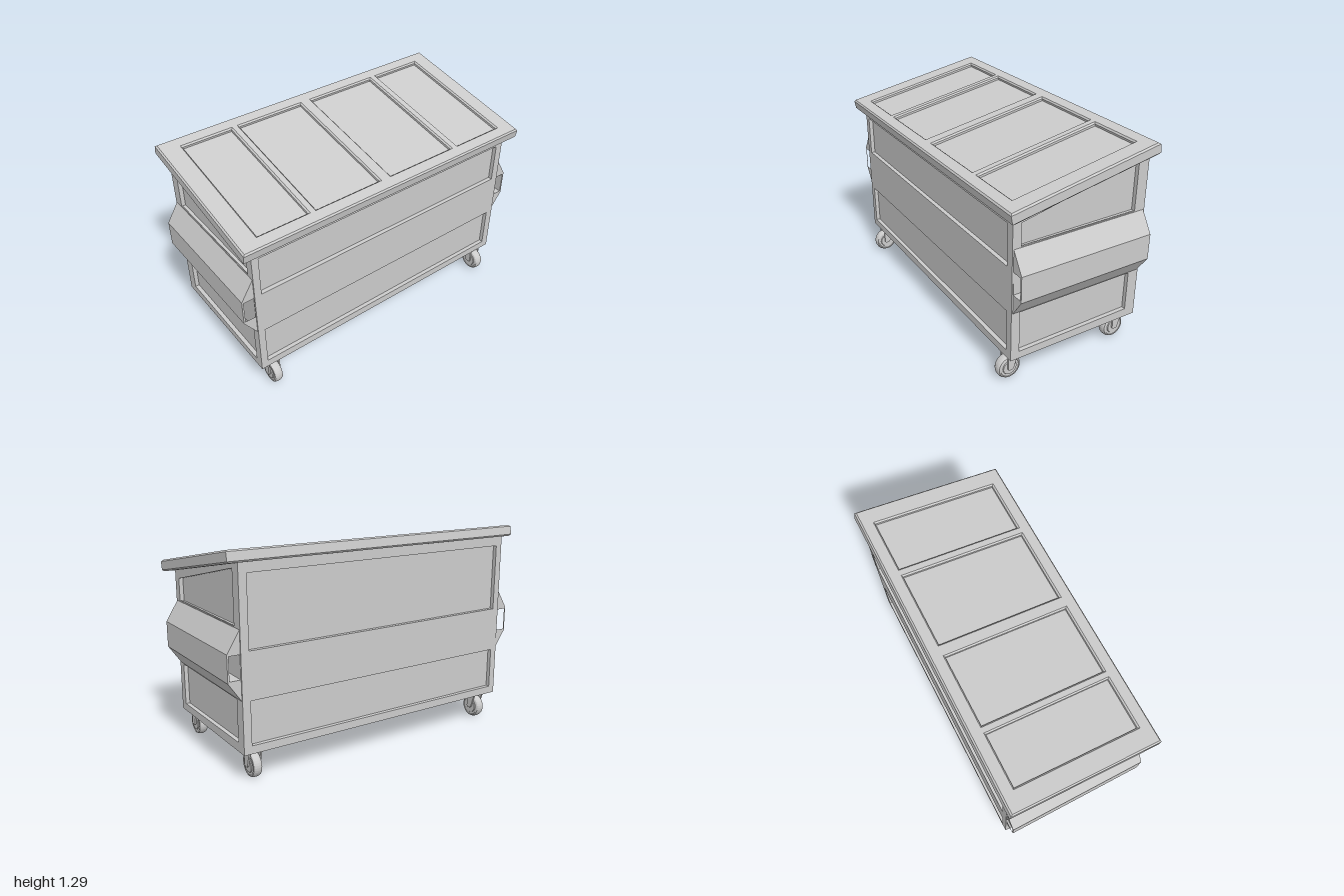
import * as THREE from 'three';

const mat = new THREE.MeshStandardMaterial({ color: 0xcccccc, flatShading: true });
const smoothMat = new THREE.MeshStandardMaterial({ color: 0xcccccc });

const W = 0.923, ZF = 0.422, ZB = -0.446, Y0 = 0.178; // bin body limits
const D = 0.025; // recess depth of the wall panels
const SLOPE = Math.atan2(0.175, 0.93);
const topY = z => 1.058 + (ZF - z) * Math.tan(SLOPE);

function polygon(points, holes = []) {
  const shape = new THREE.Shape(points.map(p => new THREE.Vector2(...p)));
  for (const h of holes) shape.holes.push(new THREE.Path(h.map(p => new THREE.Vector2(...p))));
  return shape;
}
const rect = (x0, y0, x1, y1) => [[x0, y0], [x1, y0], [x1, y1], [x0, y1]];

function add(parent, name, geometry, material = mat) {
  const mesh = new THREE.Mesh(geometry, material);
  mesh.name = name;
  parent.add(mesh);
  return mesh;
}

// Extrudes a (z, y) outline along x, from x0 to x1
function extrudeX(shape, x0, x1) {
  return new THREE.ExtrudeGeometry(shape, { depth: x1 - x0, bevelEnabled: false })
    .rotateY(-Math.PI / 2).scale(1, 1, 1).translate(x1, 0, 0);
}

function createBody() {
  const body = new THREE.Group();
  body.name = 'body';

  // inner box that forms the recessed panel faces
  const f = ZF - D, b = ZB + D;
  add(body, 'innerBox', extrudeX(polygon([[f, Y0], [f, topY(f)], [b, topY(b)], [b, Y0]]), -W + D, W - D));

  // front and back frames, each with two recessed panels
  const frames = [['frontFrame', ZF - D, topY(ZF), 1.005], ['backFrame', ZB, topY(ZB), 1.165]];
  for (const [name, z, top, panelTop] of frames) {
    const shape = polygon(rect(-W, Y0, W, top), [
      rect(-0.88, 0.225, 0.875, 0.48),
      rect(-0.88, 0.755, 0.875, panelTop),
    ]);
    add(body, name, new THREE.ExtrudeGeometry(shape, { depth: D, bevelEnabled: false }).translate(0, 0, z));
  }

  // sloped side frames
  const side = polygon([[ZF, Y0], [ZF, topY(ZF)], [ZB, topY(ZB)], [ZB, Y0]], [
    [[0.368, 0.223], [0.368, 0.48], [-0.376, 0.48], [-0.376, 0.232]],
    [[0.368, 0.877], [0.368, 1.015], [-0.376, 1.184], [-0.376, 0.88]],
  ]);
  add(body, 'leftSideFrame', extrudeX(side, W - D, W));
  add(body, 'rightSideFrame', extrudeX(side, -W, -W + D));
  return body;
}

// Lifting pocket: a trapezoid channel open at both ends
function createPocket(sign) {
  const group = new THREE.Group();
  group.name = sign > 0 ? 'leftForkPocket' : 'rightForkPocket';
  const i = W - 0.005, o = 0.999, t = 0.01;
  const outline = polygon(
    [[i, 0.478], [o, 0.595], [o, 0.752], [i, 0.882]].map(([x, y]) => [x * sign, y]),
    [rect(W + 0.002, 0.605, o - t, 0.742).map(([x, y]) => [x * sign, y])],
  );
  add(group, 'pocketChannel',
    new THREE.ExtrudeGeometry(outline, { depth: 0.853, bevelEnabled: false }).translate(0, 0, -0.439));
  return group;
}

function createLid() {
  const lid = new THREE.Group();
  lid.name = 'lid';
  const halfW = 0.988, halfL = 0.473, thick = 0.068, bev = 0.009;

  // framed cover with four recessed panels
  const columns = [[-0.87, -0.536], [-0.503, -0.05], [0.013, 0.497], [0.533, 0.884]];
  const shape = polygon(
    rect(-halfW + bev, -halfL + bev, halfW - bev, halfL - bev),
    columns.map(([a, b]) => rect(a, -0.399, b, 0.399)),
  );
  const frame = new THREE.ExtrudeGeometry(shape, {
    depth: thick - 2 * bev, bevelEnabled: true, bevelSegments: 1, bevelSize: bev, bevelThickness: bev,
  }).translate(0, 0, bev).rotateX(-Math.PI / 2);
  add(lid, 'lidFrame', frame);
  add(lid, 'lidPanels', new THREE.BoxGeometry(1.9, thick - 0.021, 0.88).translate(0, (thick - 0.023) / 2, 0));

  lid.rotation.x = SLOPE;
  lid.position.set(0, 1.137, 0);
  return lid;
}

function createCaster(x, z) {
  const caster = new THREE.Group();
  caster.name = 'caster';
  const r = 0.074;

  // wheel with rounded tread and a slightly proud hub
  const half = [[0, 0.03], [0.042, 0.03], [0.045, 0.025], [0.058, 0.025], [0.06, 0.028], [0.067, 0.025], [0.072, 0.016], [r, 0.007]];
  const profile = [...half.map(([a, h]) => [a, -h]), ...half.slice().reverse()];
  const wheel = new THREE.LatheGeometry(profile.map(p => new THREE.Vector2(...p)), 32).rotateZ(Math.PI / 2);
  add(caster, 'wheel', wheel.translate(0, 0.077, 0).toNonIndexed(), mat);
  add(caster, 'axle', new THREE.CylinderGeometry(0.01, 0.01, 0.078, 12).rotateZ(Math.PI / 2).translate(0, 0.08, 0), smoothMat);

  // tapered fork cheeks and bridge
  const cheek = polygon([[0.018, Y0 + 0.002], [0.018, 0.075], [0.012, 0.068], [-0.01, 0.068], [-0.018, 0.075], [-0.05, Y0 + 0.002]]);
  for (const s of [-1, 1]) {
    add(caster, 'forkCheek', extrudeX(cheek, s * 0.036 - 0.005, s * 0.036 + 0.005));
  }
  add(caster, 'forkBridge', new THREE.BoxGeometry(0.08, 0.016, 0.068).translate(0, 0.171, -0.016));
  caster.position.set(x, 0, z);
  return caster;
}

export function createModel() {
  const model = new THREE.Group();
  model.name = 'wheeledWasteBin';
  model.add(createBody(), createPocket(1), createPocket(-1), createLid());
  for (const x of [-0.833, 0.833]) {
    for (const z of [0.385, -0.356]) model.add(createCaster(x, z));
  }
  // rest the wheels on the ground
  model.position.y = -0.003;
  return model;
}
